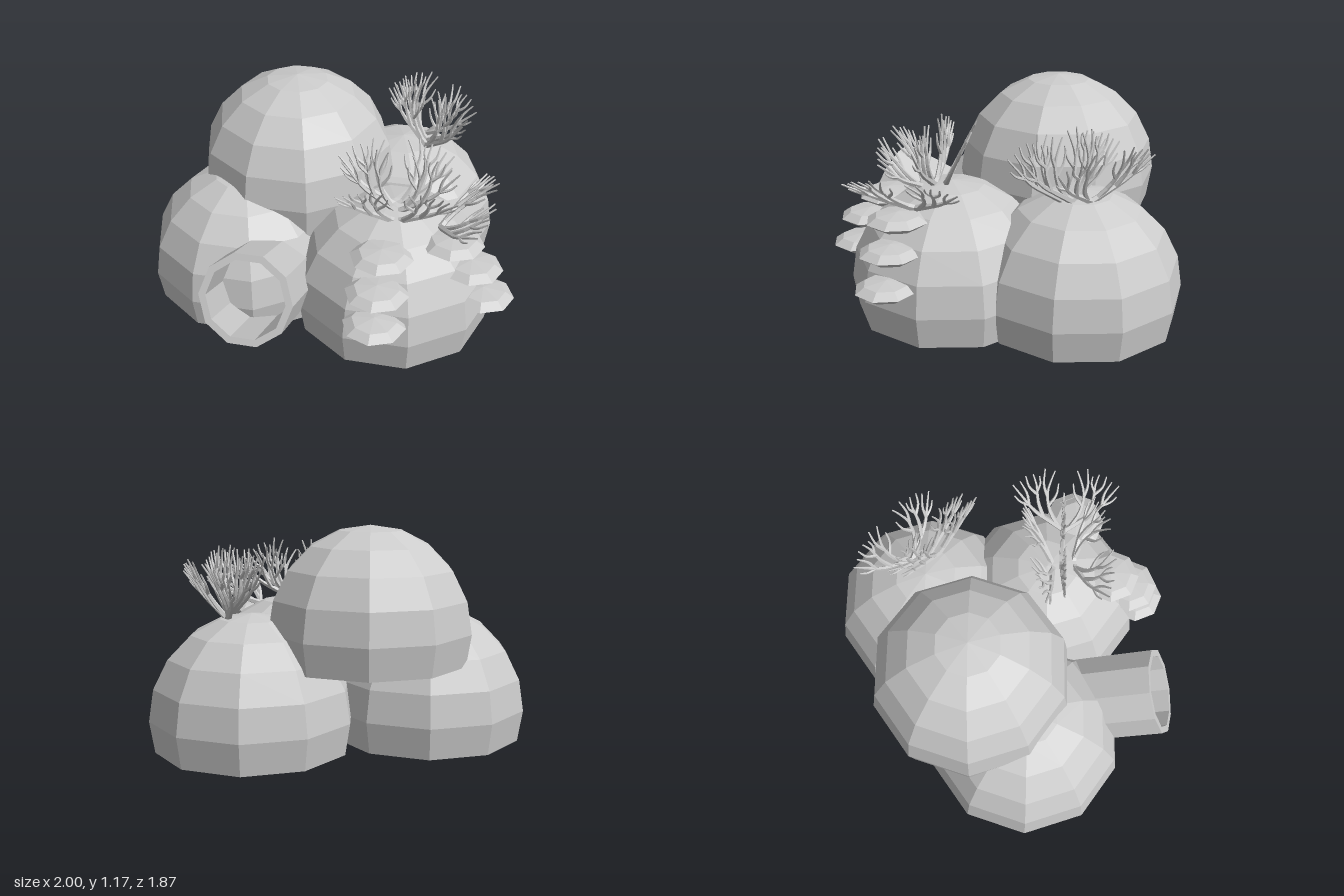
import * as THREE from 'three';
import { mergeGeometries } from 'three/addons/utils/BufferGeometryUtils.js';

const mat = new THREE.MeshStandardMaterial({ color: 0xcccccc, flatShading: true, side: THREE.DoubleSide });

// Tapering branch swept along points in the XY plane
function limb(points, r0, r1) {
  const curve = new THREE.CatmullRomCurve3(points.map(([x, y]) => new THREE.Vector3(x, y, 0)));
  const rings = points.length * 2;
  const geo = new THREE.TubeGeometry(curve, rings, 1, 5);
  const pos = geo.attributes.position;
  const v = new THREE.Vector3();
  for (let i = 0; i < pos.count; i++) {
    const t = Math.floor(i / 6) / rings;
    const c = curve.getPointAt(t);
    v.fromBufferAttribute(pos, i).sub(c).multiplyScalar(THREE.MathUtils.lerp(r0, r1, t)).add(c);
    pos.setXYZ(i, v.x, v.y, v.z);
  }
  return geo;
}

// Flat coral fan: two mirrored halves of forking branches
function fanGeometry() {
  const half = [
    [[[0, 0], [0.08, 0.05], [0.17, 0.11], [0.24, 0.19], [0.29, 0.25]], 0.018],
    [[[0.03, 0.02], [0.08, 0.1], [0.1, 0.2], [0.08, 0.28], [0.06, 0.33]], 0.014],
    [[[0.12, 0.075], [0.15, 0.16], [0.16, 0.25], [0.18, 0.31]], 0.013],
    [[[0.1, 0.19], [0.12, 0.25], [0.115, 0.34]], 0.01],
    [[[0.09, 0.14], [0.05, 0.2], [0.04, 0.26]], 0.01],
    [[[0.155, 0.2], [0.2, 0.24], [0.22, 0.3]], 0.01],
    [[[0.2, 0.14], [0.21, 0.2], [0.25, 0.27]], 0.01],
    [[[0.2, 0.14], [0.25, 0.16], [0.28, 0.19]], 0.009],
    [[[0.155, 0.22], [0.14, 0.26], [0.145, 0.3]], 0.008]
  ];
  const parts = [];
  for (const side of [1, -1]) {
    for (const [pts, r] of half) parts.push(limb(pts.map(([x, y]) => [x * side, y]), r, 0.004));
  }
  return mergeGeometries(parts);
}

export function createModel() {
  const model = new THREE.Group();
  const add = (name, geo, x, y, z) => {
    const mesh = new THREE.Mesh(geo, mat);
    mesh.name = name;
    mesh.position.set(x, y, z);
    model.add(mesh);
    return mesh;
  };

  // Boulders: ten-sided domes cut just below the equator
  const dome = new THREE.SphereGeometry(0.53, 10, 6, 0, Math.PI * 2, 0, Math.PI * 0.6);
  add('topBoulder', dome, -0.25, 0.655, -0.18);
  add('rightBoulder', dome, -0.47, 0.215, 0.11);
  add('frontLeftBoulder', dome, 0.35, 0.215, 0.22);
  add('backLeftBoulder', dome, 0.295, 0.215, -0.435);

  // Hollow pipe leaning out of the front
  const wall = [[0.2, 0], [0.236, 0], [0.236, 0.627], [0.2, 0.627], [0.2, 0]];
  const pipeGeo = new THREE.LatheGeometry(wall.map(([r, y]) => new THREE.Vector2(r, y)), 10);
  pipeGeo.rotateY(Math.PI / 10);
  add('pipe', pipeGeo, -0.265, 0.22, 0.265).rotation.x = 1.16;

  // Shelf plates in two columns: on the front and on the left side
  const plate = new THREE.SphereGeometry(0.157, 8, 4).scale(1, 0.28, 1);
  for (const [y, z] of [[0.63, 0.57], [0.5, 0.685], [0.345, 0.738]]) {
    add('frontShelf', plate, 0.345, y, z);
  }
  for (const [y, x] of [[0.63, 0.67], [0.5, 0.77], [0.34, 0.838]]) {
    add('sideShelf', plate, x, y, 0.385);
  }

  // Coral fans: position, yaw, lean
  const fan = fanGeometry();
  const fans = [
    [0.38, 0.72, 0.3, 0, 0],
    [0.36, 0.72, 0.25, 0.2, -0.45],
    [0.38, 0.7, 0.36, 0.1, 0.6],
    [0.6, 0.67, 0.32, Math.PI / 2, 0.87],
    [0.43, 0.73, -0.42, -0.69, 0],
    [0.43, 0.73, -0.37, -0.69, 0.12],
    [0.39, 0.72, -0.51, -0.69, -0.5]
  ];
  for (const [x, y, z, yaw, lean] of fans) {
    add('coralFan', fan, x, y, z).rotation.set(lean, yaw, 0, 'YXZ');
  }
  return model;
}
